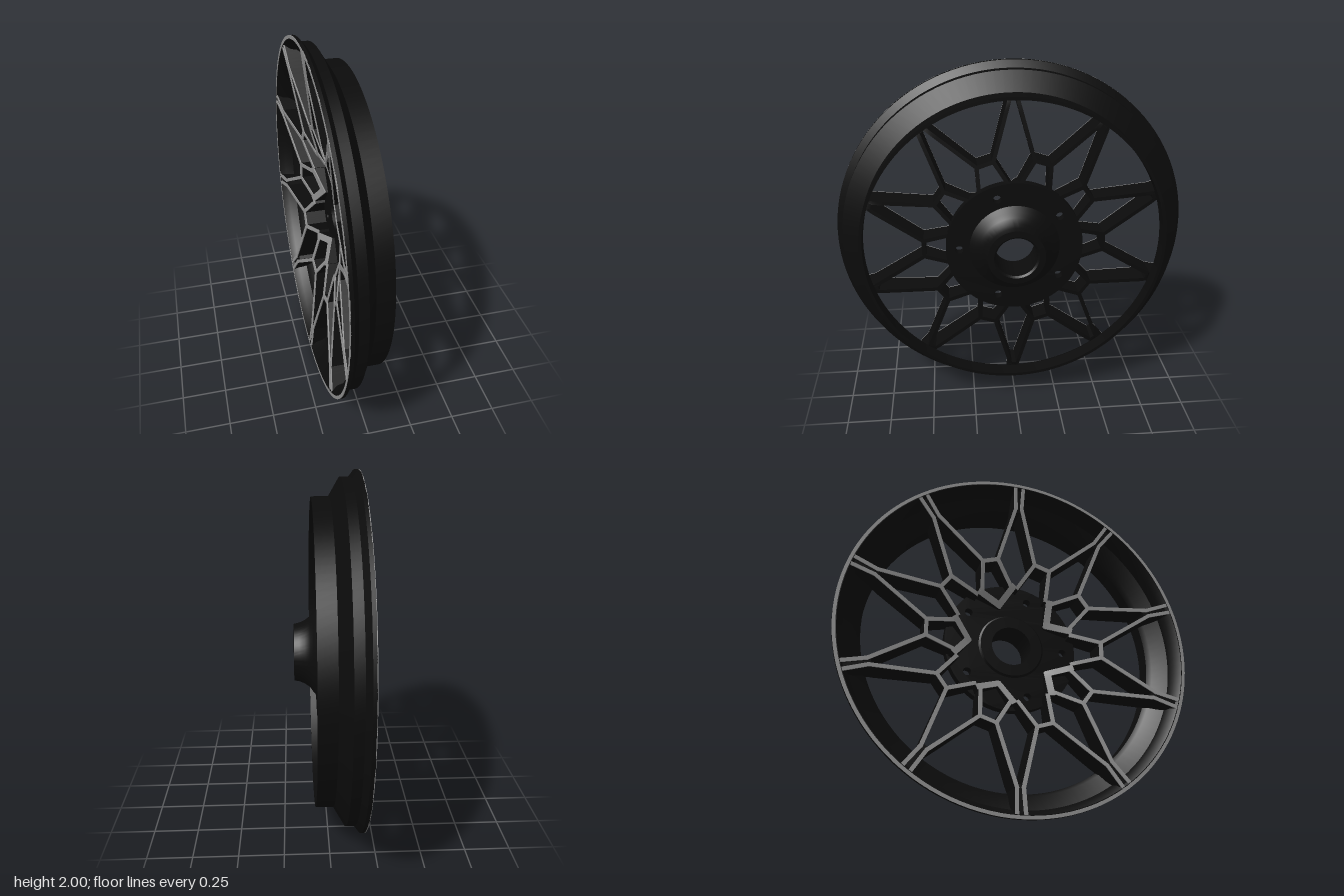
import * as THREE from 'three';
import { toCreasedNormals } from 'three/addons/utils/BufferGeometryUtils.js';

const black = new THREE.MeshStandardMaterial({ color: 0x0b0b0b });
const silver = new THREE.MeshStandardMaterial({ color: 0x8c8c8c });
const DEG = Math.PI / 180;

// Depth of the spoke faces by radius: [radius, front x, back x]
const DEPTH = [
  [0.20, 0.0, 0.04], [0.26, -0.03, 0.04], [0.36, -0.07, 0.035], [0.51, -0.11, 0.02],
  [0.84, -0.16, -0.01], [0.93, -0.17, -0.09], [0.98, -0.176, -0.155], [1.0, -0.178, -0.165],
];
function depthAt(r, column) {
  for (let i = 1; i < DEPTH.length; i++) {
    const a = DEPTH[i - 1], b = DEPTH[i];
    if (r <= b[0]) {
      const t = Math.max(0, (r - a[0]) / (b[0] - a[0]));
      return a[column] + (b[column] - a[column]) * t;
    }
  }
  return DEPTH[DEPTH.length - 1][column];
}

// Point on the wheel plane: radius, angle in degrees, sideways shift
function polar(r, deg, side = 0) {
  const c = Math.cos(deg * DEG), s = Math.sin(deg * DEG);
  return new THREE.Vector2(r * c - side * s, r * s + side * c); // (z, y)
}

function bar(a, b, width, front, back, material, name) {
  const geo = new THREE.BoxGeometry(1, 1, 1, 1, 8, 1);
  const pos = geo.attributes.position;
  const dir = b.clone().sub(a).normalize();
  const len = a.distanceTo(b) + width * 0.6;
  const mid = a.clone().add(b).multiplyScalar(0.5);
  for (let i = 0; i < pos.count; i++) {
    const l = pos.getY(i) * len, w = pos.getZ(i) * width;
    const z = mid.x + dir.x * l + dir.y * w;
    const y = mid.y + dir.y * l - dir.x * w;
    const r = Math.hypot(z, y);
    pos.setXYZ(i, pos.getX(i) < 0 ? front(r) : back(r), y, z);
  }
  geo.computeVertexNormals();
  const mesh = new THREE.Mesh(geo, material);
  mesh.name = name;
  return mesh;
}

// Deep black strut with a thin bright machined face
function strut(a, b, width, name) {
  const g = new THREE.Group();
  g.name = name;
  g.add(bar(a, b, width, r => depthAt(r, 1) + 0.004, r => depthAt(r, 2), black, name + 'Body'));
  g.add(bar(a, b, width, r => depthAt(r, 1) - 0.002, r => depthAt(r, 1) + 0.004, silver, name + 'Face'));
  return g;
}

// Closed ring turned about the x axis from [radius, x] points
function turned(points, material, name) {
  const pts = [...points, points[0]].map(p => new THREE.Vector2(p[0], p[1]));
  const geo = toCreasedNormals(new THREE.LatheGeometry(pts, 120), 0.5);
  geo.rotateZ(-Math.PI / 2);
  const mesh = new THREE.Mesh(geo, material);
  mesh.name = name;
  return mesh;
}

export function createModel() {
  const model = new THREE.Group();
  model.name = 'wheel';
  const wheel = new THREE.Group();
  wheel.name = 'wheelAssembly';
  wheel.position.y = 1;
  model.add(wheel);

  // Rim barrel and its bright outer lip
  wheel.add(turned([
    [0.978, -0.178], [1, -0.178], [1, -0.158], [0.963, -0.13], [0.963, -0.08], [0.86, -0.02],
    [0.86, 0.075], [0.842, 0.075], [0.842, -0.01], [0.86, -0.04], [0.94, -0.09], [0.95, -0.14],
  ], black, 'rim'));
  wheel.add(turned([[0.982, -0.18], [1, -0.18], [1, -0.176], [0.982, -0.176]], silver, 'rimLip'));

  // Hub plate with five bolt holes
  const plate = new THREE.Shape().absarc(0, 0, 0.385, 0, Math.PI * 2);
  plate.holes.push(new THREE.Path().absarc(0, 0, 0.16, 0, Math.PI * 2, true));
  for (let k = 0; k < 5; k++) {
    const p = polar(0.31, 72 * k);
    plate.holes.push(new THREE.Path().absarc(-p.x, p.y, 0.023, 0, Math.PI * 2, true));
  }
  const plateGeo = new THREE.ExtrudeGeometry(plate, { depth: 0.05, bevelEnabled: false, curveSegments: 48 });
  const hubPlate = new THREE.Mesh(toCreasedNormals(plateGeo, 0.5), black);
  hubPlate.rotation.y = Math.PI / 2;
  hubPlate.name = 'hubPlate';
  wheel.add(hubPlate);

  // Flared centre boss around the bore
  wheel.add(turned([
    [0.115, -0.01], [0.18, -0.01], [0.19, 0.0], [0.26, 0.045], [0.225, 0.073], [0.2, 0.09],
    [0.178, 0.12], [0.166, 0.15], [0.16, 0.178], [0.125, 0.18], [0.115, 0.17],
  ], black, 'hubBoss'));

  // Ten forks, each with a bridge, two outer struts and two inner legs
  for (let k = 0; k < 10; k++) {
    const mid = 36 * k;
    const fork = new THREE.Group();
    fork.name = 'spokeFork';
    wheel.add(fork);
    fork.add(strut(polar(0.51, mid - 5.3), polar(0.51, mid + 5.3), 0.022, 'bridge'));
    for (const s of [-1, 1]) {
      const knee = polar(0.51, mid + s * 5.3);
      const tip = polar(0.84, mid + s * 18, -s * 0.018);
      fork.add(strut(knee, tip, 0.021, 'outerStrut'));
      fork.add(strut(tip, polar(0.985, mid + s * 18, -s * 0.024), 0.021, 'rimEnd'));
      fork.add(strut(knee, polar(0.35, mid + s * 15), 0.022, 'innerLeg'));
    }
    // Recessed web that closes each spoke tip on the rim
    fork.add(bar(polar(0.83, mid + 18), polar(0.965, mid + 18), 0.03,
      r => depthAt(r, 1) + 0.012, r => depthAt(r, 2), black, 'tipWeb'));
  }

  // Five chevrons that carry the spokes down onto the hub
  for (let k = 0; k < 5; k++) {
    const mid = 36 + 72 * k;
    for (const s of [-1, 1]) {
      wheel.add(strut(polar(0.255, mid), polar(0.355, mid + s * 17), 0.036, 'hubChevron'));
    }
  }
  return model;
}
